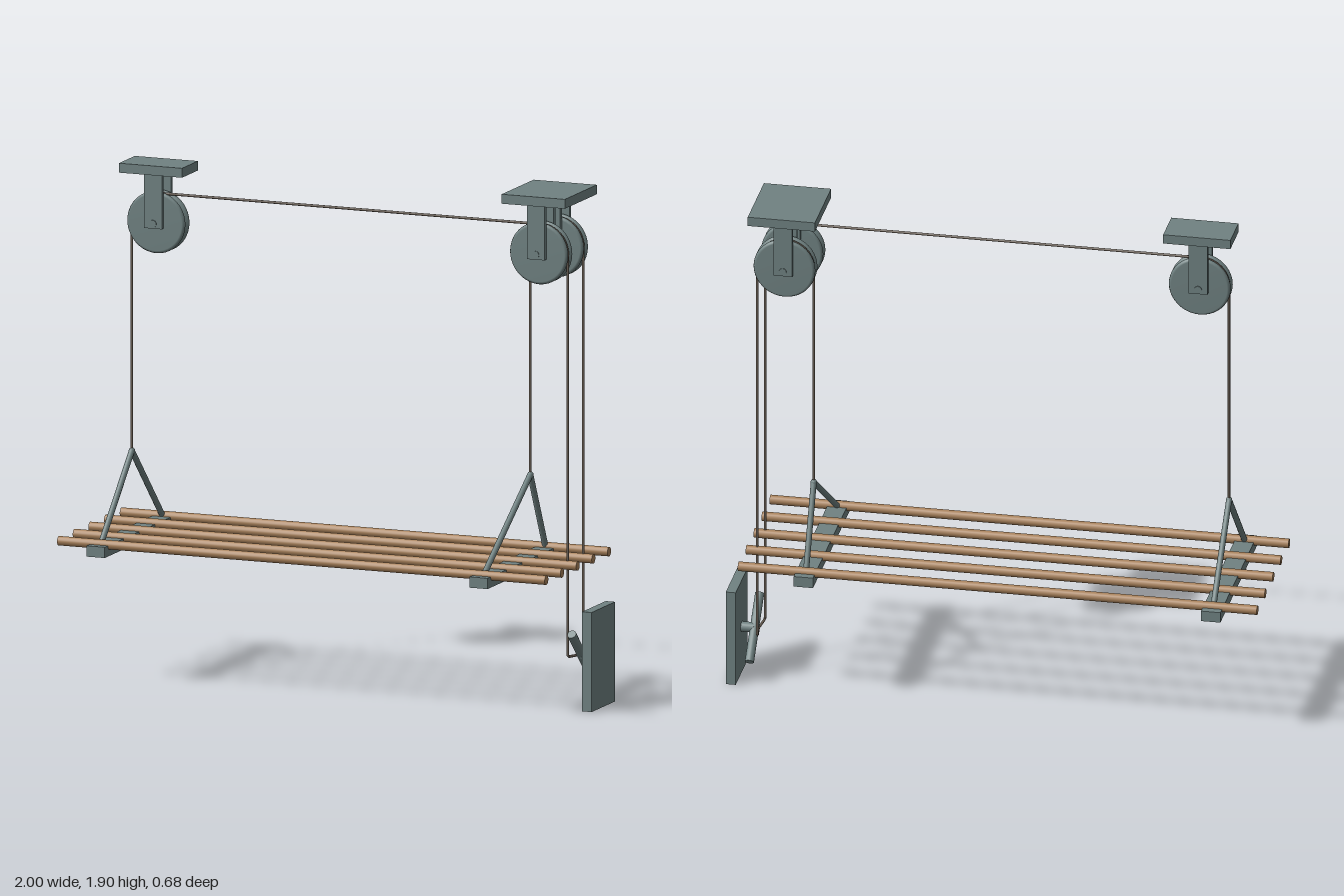
import * as THREE from 'three';

const metal = new THREE.MeshStandardMaterial({ color: 0x708282 });
const wood = new THREE.MeshStandardMaterial({ color: 0xa9825b });
const cord = new THREE.MeshStandardMaterial({ color: 0x6b6055 });

const WHEEL_Y = 1.685, ROPE_R = 0.105, BACK_Z = -0.147;
const LEFT_X = -0.73, RIGHT_X = 0.785;
const v = (x, y, z) => new THREE.Vector3(x, y, z);

export function createModel() {
  const model = new THREE.Group();

  const add = (name, geometry, material, parent = model) => {
    const mesh = new THREE.Mesh(geometry, material);
    mesh.name = name;
    parent.add(mesh);
    return mesh;
  };
  const box = (name, x0, x1, y0, y1, z0, z1, parent) =>
    add(name, new THREE.BoxGeometry(x1 - x0, y1 - y0, z1 - z0), metal, parent)
      .position.set((x0 + x1) / 2, (y0 + y1) / 2, (z0 + z1) / 2);
  // Round bar between two points
  const bar = (name, a, b, r, material, parent, sides = 16) => {
    const mesh = add(name, new THREE.CylinderGeometry(r, r, a.distanceTo(b), sides), material, parent);
    mesh.position.copy(a).lerp(b, 0.5);
    mesh.quaternion.setFromUnitVectors(v(0, 1, 0), b.clone().sub(a).normalize());
  };

  // Grooved wheel: hub faces, two rounded rims and a groove between them
  const half = [[0.03, 0], [0.03, 0.104], [0.027, 0.111], [0.019, 0.115], [0.011, 0.111], [0.007, 0.102], [0, 0.099]];
  const profile = [
    ...half.map(([w, r]) => new THREE.Vector2(r, -w)),
    ...half.slice(0, -1).reverse().map(([w, r]) => new THREE.Vector2(r, w)),
  ];
  const wheelGeometry = new THREE.LatheGeometry(profile, 40).rotateX(Math.PI / 2);

  const pulley = (name, x, z) => {
    const g = new THREE.Group();
    g.name = name;
    g.position.set(x, WHEEL_Y, z);
    model.add(g);
    add('wheel', wheelGeometry, metal, g);
    bar('axle', v(0, 0, -0.055), v(0, 0, 0.055), 0.014, metal, g);
    for (const s of [-1, 1]) {
      const c = s * 0.043;
      box('bracketArm', -0.035, 0.035, -0.018, 0.19, c - 0.0085, c + 0.0085, g);
    }
  };
  pulley('leftPulley', LEFT_X, 0);
  pulley('rightFrontPulley', RIGHT_X, 0);
  pulley('rightBackPulley', RIGHT_X, BACK_Z);
  box('leftCeilingPlate', LEFT_X - 0.125, LEFT_X + 0.125, 1.87, 1.905, -0.075, 0.075);
  box('rightCeilingPlate', RIGHT_X - 0.125, RIGHT_X + 0.125, 1.87, 1.905, -0.225, 0.075);

  // Drying rack: five wooden rods on two crossbars, each hung from a pair of stays
  for (let i = -2; i <= 2; i++) {
    bar('rod', v(-1, 0.531, i * 0.147), v(0.93, 0.531, i * 0.147), 0.0175, wood);
  }
  const hang = [[LEFT_X - ROPE_R, 0], [RIGHT_X - ROPE_R, BACK_Z]];
  for (const [x, apexZ] of hang) {
    box('crossbar', x - 0.036, x + 0.036, 0.49, 0.53, -0.34, 0.34);
    for (const s of [-1, 1]) {
      bar('stay', v(x, 0.825, apexZ), v(x, 0.53, s * 0.29), 0.011, metal, model, 12);
    }
    add('stayJoint', new THREE.SphereGeometry(0.012, 12, 8), metal).position.set(x, 0.825, apexZ);
  }

  // Ropes follow straight runs and arcs over the wheels
  const arc = (x, z, from, to) => Array.from({ length: 17 }, (_, i) => {
    const a = (from + (to - from) * i / 16) * Math.PI;
    return v(x + ROPE_R * Math.cos(a), WHEEL_Y + ROPE_R * Math.sin(a), z);
  });
  const rope = (name, points) => {
    const path = new THREE.CurvePath();
    for (let i = 1; i < points.length; i++) path.add(new THREE.LineCurve3(points[i - 1], points[i]));
    add(name, new THREE.TubeGeometry(path, 400, 0.005, 8), cord);
  };
  const tail = RIGHT_X + ROPE_R, tie = v(0.9, 0.185, -0.073);
  rope('longRope', [
    v(hang[0][0], 0.825, 0),
    ...arc(LEFT_X, 0, 1, 0.5), ...arc(RIGHT_X, 0, 0.5, 0),
    v(tail, 0.19, 0), tie,
  ]);
  rope('shortRope', [
    v(hang[1][0], 0.825, BACK_Z),
    ...arc(RIGHT_X, BACK_Z, 1, 0),
    v(tail, 0.19, BACK_Z), tie,
  ]);

  // Wall cleat: plate, post and slanted tie bar
  box('wallPlate', 0.963, 1, 0, 0.37, -0.183, 0.037);
  bar('cleatPost', v(0.915, 0.185, -0.073), v(0.965, 0.185, -0.073), 0.019, metal);
  const d = 0.095;
  bar('cleatBar', v(0.915, 0.185 + d, -0.073 + d), v(0.915, 0.185 - d, -0.073 - d), 0.017, metal);

  return model;
}
